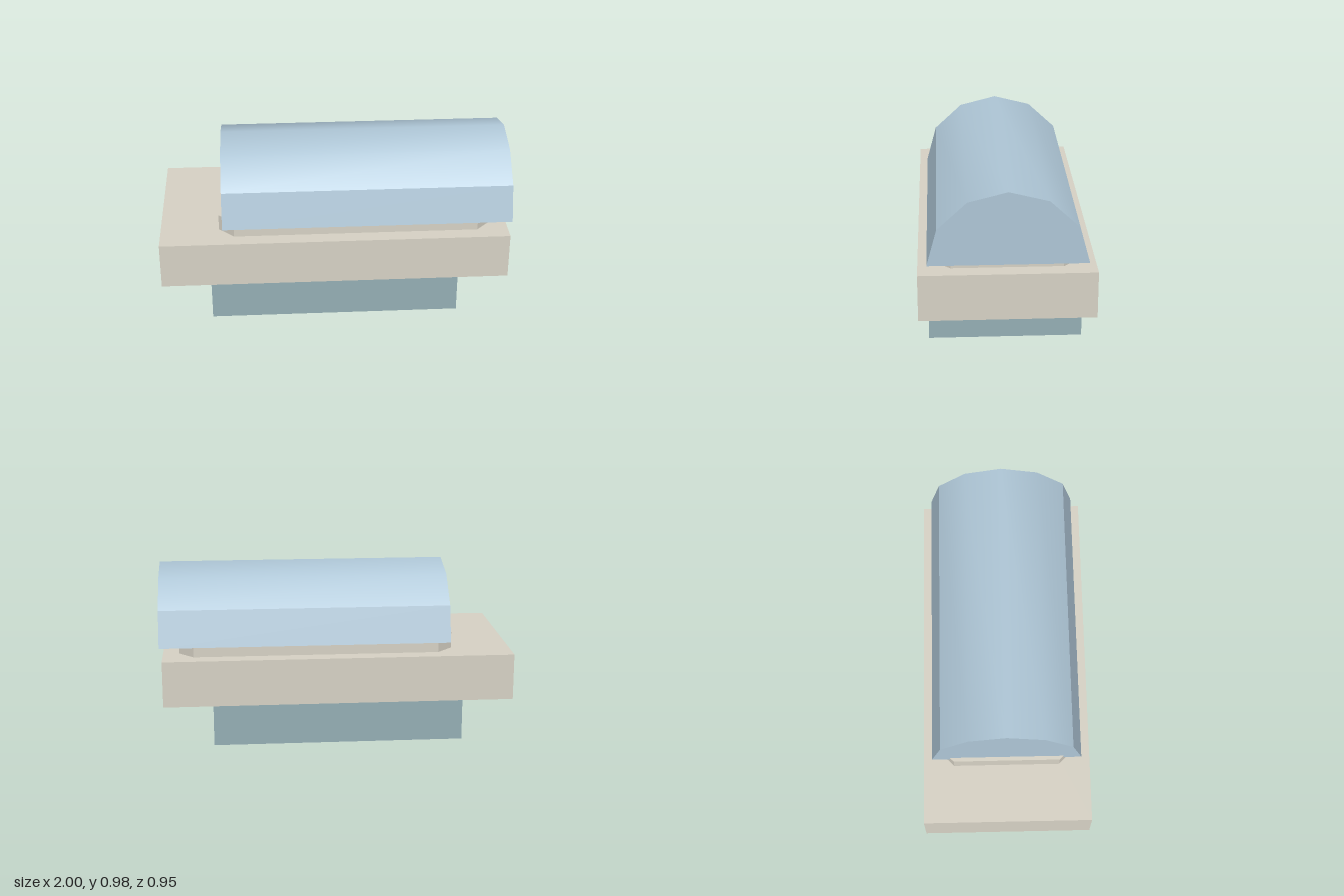
import * as THREE from 'three';
import { toCreasedNormals } from 'three/addons/utils/BufferGeometryUtils.js';

const paint = (name, color) => {
  const m = new THREE.MeshStandardMaterial({ color });
  m.name = name;
  return m;
};

// Prism from a closed outline, extruded along +z
const prism = (points, depth) => new THREE.ExtrudeGeometry(
  new THREE.Shape(points.map(([a, b]) => new THREE.Vector2(a, b))),
  { depth, bevelEnabled: false });

export function createModel() {
  const model = new THREE.Group();
  const stone = paint('stone', 0xd6d1c4);
  const sky = paint('paleBlue', 0xaec6d6);
  const teal = paint('greyTeal', 0x94aeb4);

  const add = (name, geometry, material) => {
    const mesh = new THREE.Mesh(geometry, material);
    mesh.name = name;
    model.add(mesh);
  };
  // Box given by its x range, y range and depth
  const block = (x0, x1, y0, y1, depth) =>
    new THREE.BoxGeometry(x1 - x0, y1 - y0, depth).translate((x0 + x1) / 2, (y0 + y1) / 2, 0);

  // Foot and wide slab
  add('base', block(-0.72, 0.7, 0, 0.25, 0.85), teal);
  add('slab', block(-1, 0.98, 0.25, 0.513, 0.954), stone);

  // Plinth with cut corners, reaching slightly into the canopy
  const plinth = prism([
    [-0.58, -0.39], [0.805, -0.39], [0.89, -0.302], [0.89, 0.302],
    [0.805, 0.39], [-0.58, 0.39], [-0.667, 0.302], [-0.667, -0.302],
  ], 0.605 - 0.513);
  add('plinth', plinth.rotateX(-Math.PI / 2).translate(0, 0.513, 0), stone);

  // Arched canopy: smooth over the top, creased at the lower side panels
  const half = [[0.427, 0.577], [0.372, 0.78], [0.213, 0.928]];
  const arch = [...half, [0, 0.982], ...half.map(([z, y]) => [-z, y]).reverse()];
  const canopy = prism(arch, 0.997 + 0.645).rotateY(Math.PI / 2).translate(-0.645, 0, 0);
  add('canopy', toCreasedNormals(canopy, THREE.MathUtils.degToRad(30)), sky);

  return model;
}
